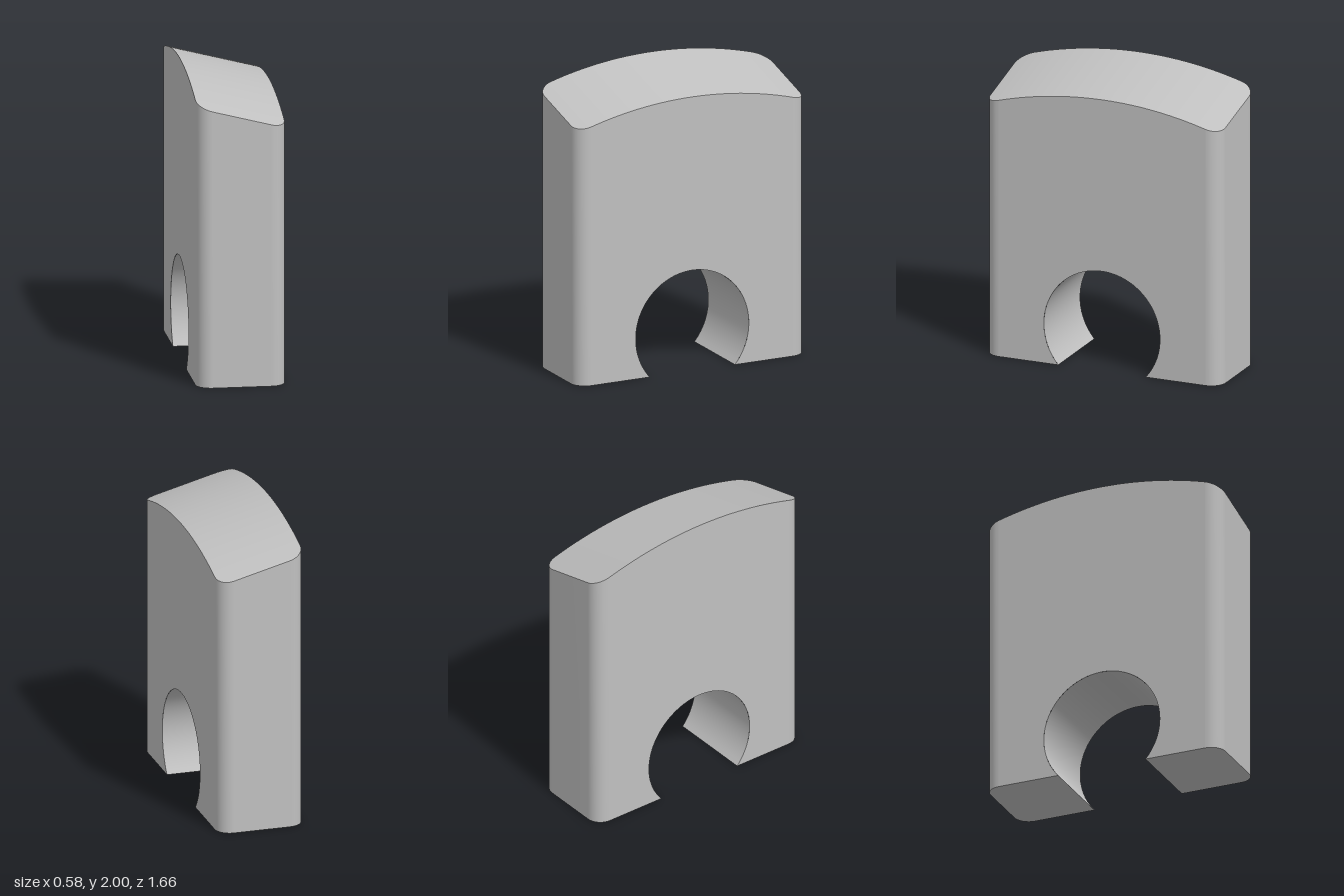
import * as THREE from 'three';
import { ParametricGeometry } from 'three/addons/geometries/ParametricGeometry.js';

const W = 0.29, D = 0.83, R = 0.1;          // half width, half depth, corner radius
const IX = W - R, IZ = D - R;               // centres of the corner rounds
const HOLE_R = 0.41, HOLE_Y = 0.27, ARCH = 2.65;
const A0 = Math.asin(-HOLE_Y / HOLE_R);     // angle where the hole meets the base
const HOLE_Z = HOLE_R * Math.cos(A0);

// Height of the arched, sideways-sloping top
const topY = (x, z) => 1.925 - 0.259 * x - (ARCH - Math.sqrt(ARCH * ARCH - z * z));

function surface(f, nu, nv) {
  const g = new ParametricGeometry((u, v, p) => p.set(...f(u, v)), nu, nv);
  g.computeVertexNormals();
  return g;
}

// Half-round end outline, from (-W, IZ) around to (W, IZ)
function endPoint(u) {
  if (u <= 0.45) {
    const a = (u / 0.45) * Math.PI / 2;
    return [-IX - R * Math.cos(a), IZ + R * Math.sin(a)];
  }
  if (u < 0.55) return [IX * (u - 0.5) / 0.05, D];
  const a = ((1 - u) / 0.45) * Math.PI / 2;
  return [IX + R * Math.cos(a), IZ + R * Math.sin(a)];
}

// Depth and half width of the plan at station u along z
function station(u) {
  const k = 9 / 48;
  if (u >= k && u <= 1 - k) return [IZ * (u - 0.5) / (0.5 - k), W];
  const a = (Math.min(u, 1 - u) / k) * Math.PI / 2;
  return [Math.sign(u - 0.5) * (IZ + R * Math.cos(a)), IX + R * Math.sin(a)];
}

// Flat side with the round cut-out and arched upper edge
function sideGeometry(s) {
  const shape = new THREE.Shape();
  shape.moveTo(-IZ, 0);
  shape.lineTo(-HOLE_Z, 0);
  shape.absarc(0, HOLE_Y, HOLE_R, Math.PI - A0, A0, true);
  shape.lineTo(IZ, 0);
  for (let i = 0; i <= 30; i++) {
    const z = IZ * (1 - i / 15);
    shape.lineTo(z, topY(s * W, z));
  }
  const g = new THREE.ShapeGeometry(shape, 48);
  g.rotateY(s * Math.PI / 2);
  g.translate(s * W, 0, 0);
  return g;
}

// Underside of one foot
function footGeometry(s) {
  const shape = new THREE.Shape();
  shape.moveTo(-W, HOLE_Z);
  shape.lineTo(W, HOLE_Z);
  for (let i = 20; i >= 0; i--) shape.lineTo(...endPoint(i / 20));
  const g = new THREE.ShapeGeometry(shape);
  g.rotateX(Math.PI / 2);
  if (s < 0) g.rotateY(Math.PI);
  return g;
}

export function createModel() {
  const group = new THREE.Group();
  group.name = 'archedBlock';
  const grey = new THREE.MeshStandardMaterial({ color: 0xc0c0c0 });
  grey.name = 'grey';
  const add = (name, geometry) => {
    const mesh = new THREE.Mesh(geometry, grey);
    mesh.name = name;
    group.add(mesh);
  };

  // Sloping curved top
  add('top', surface((u, v) => {
    const [z, w] = station(u);
    const x = w * (2 * v - 1);
    return [x, topY(x, z), z];
  }, 48, 8));

  // Inside of the round cut-out
  add('cutout', surface((u, v) => {
    const a = A0 + u * (Math.PI - 2 * A0);
    return [W * (2 * v - 1), HOLE_Y + HOLE_R * Math.sin(a), HOLE_R * Math.cos(a)];
  }, 48, 1));

  // Mirrored sides, rounded ends and feet
  for (const s of [1, -1]) {
    add(s > 0 ? 'leftSide' : 'rightSide', sideGeometry(s));
    add(s > 0 ? 'frontEnd' : 'backEnd', surface((u, v) => {
      const [x, z] = endPoint(u);
      return [s * x, v * topY(s * x, z), s * z];
    }, 20, 1));
    add(s > 0 ? 'frontFoot' : 'backFoot', footGeometry(s));
  }
  return group;
}
